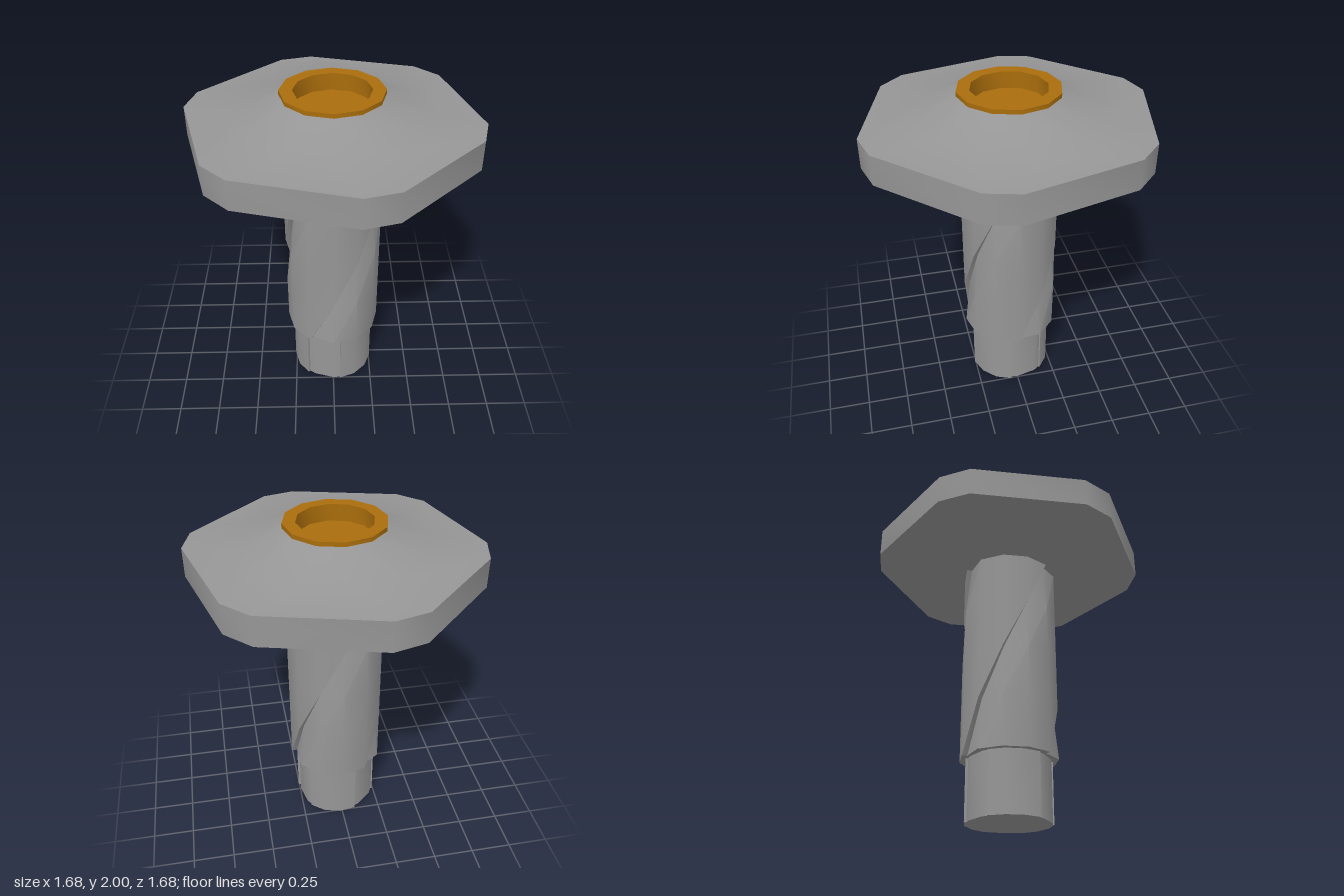
import * as THREE from 'three';
import { toCreasedNormals } from 'three/addons/utils/BufferGeometryUtils.js';

const steel = new THREE.MeshStandardMaterial({ color: 0x969696 });
steel.name = 'steel grey';
const bronze = new THREE.MeshStandardMaterial({ color: 0xa96d0c });
bronze.name = 'bronze';

// A ring of [angle in degrees from the front towards +x, radius] at one height
function ring(section, y, twist = 0) {
  return section.map(([angle, r]) => {
    const a = THREE.MathUtils.degToRad(angle + twist);
    return new THREE.Vector3(r * Math.sin(a), y, r * Math.cos(a));
  });
}

// Skin between successive rings, with optional flat end caps
function loft(name, rings, material, capBottom, capTop) {
  const pos = [];
  const tri = (...points) => points.forEach((p) => pos.push(p.x, p.y, p.z));
  const n = rings[0].length;
  const last = rings[rings.length - 1];
  const bottomCentre = new THREE.Vector3(0, rings[0][0].y, 0);
  const topCentre = new THREE.Vector3(0, last[0].y, 0);
  for (let i = 0; i < n; i++) {
    const j = (i + 1) % n;
    for (let k = 0; k + 1 < rings.length; k++) {
      const lo = rings[k], up = rings[k + 1];
      tri(lo[i], lo[j], up[i]);
      tri(lo[j], up[j], up[i]);
    }
    if (capBottom) tri(bottomCentre, rings[0][j], rings[0][i]);
    if (capTop) tri(topCentre, last[i], last[j]);
  }
  const geo = new THREE.BufferGeometry();
  geo.setAttribute('position', new THREE.Float32BufferAttribute(pos, 3));
  const mesh = new THREE.Mesh(toCreasedNormals(geo, 0.6), material);
  mesh.name = name;
  return mesh;
}

// Repeat a 120 degree section three times
const threefold = (part) =>
  [0, 120, 240].flatMap((turn) => part.map(([a, r]) => [a + turn, r]));

// Regular twelve-sided section
const dodecagon = (r) => Array.from({ length: 12 }, (_, i) => [i * 30, r]);

// Hexagon with cut corners: pairs of points either side of each corner
const clippedHexagon = (r) =>
  Array.from({ length: 6 }, (_, i) => 15 + i * 60).flatMap((a) => [[a - 6.7, r], [a + 6.7, r]]);

export function createModel() {
  const model = new THREE.Group();
  model.name = 'flangedPin';

  // Lower spigot with three shallow flats
  const spigot = threefold([
    [10, 0.259], [33, 0.259], [57, 0.259], [80, 0.259],
    [80, 0.244], [90, 0.245], [120, 0.25], [130, 0.25],
  ]);
  model.add(loft('spigot', [ring(spigot, 0), ring(spigot, 0.37)], steel, true, false));

  // Shaft with three stepped grooves twisting a third of a turn
  const shaft = threefold([[0, 0.295], [30, 0.295], [60, 0.295], [90, 0.295], [90, 0.262]]);
  const shaftRings = [0, 1, 2, 3, 4].map((k) => ring(shaft, 0.37 + k * 0.3125, k * 30));
  model.add(loft('groovedShaft', shaftRings, steel, true, false));

  // Wide flange rising to the collar
  model.add(loft('flange', [
    ring(dodecagon(0.54), 1.62),
    ring(clippedHexagon(0.85), 1.672),
    ring(clippedHexagon(0.85), 1.847),
    ring(dodecagon(0.54), 1.867),
    ring(dodecagon(0.295), 1.975),
  ], steel, true, false));

  // Hollow collar with a recessed floor
  model.add(loft('collar', [
    ring(dodecagon(0.295), 1.975),
    ring(dodecagon(0.295), 2),
    ring(dodecagon(0.22), 2),
    ring(dodecagon(0.22), 1.9),
  ], bronze, false, true));

  return model;
}
